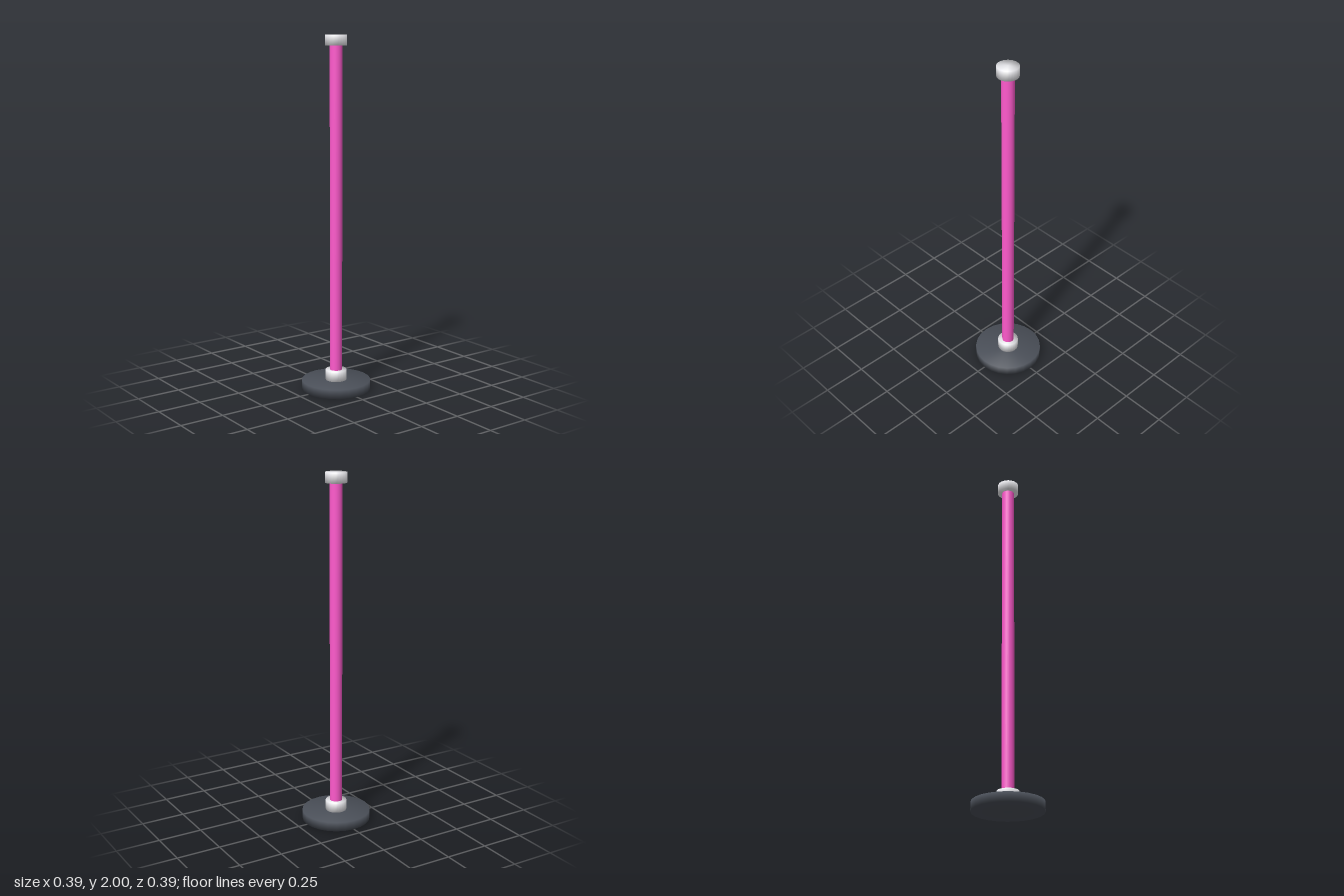
import * as THREE from 'three';
import { mergeVertices } from 'three/addons/utils/BufferGeometryUtils.js';

const SIDES = 24;

// Closed cylinder from y0 to y1, with normals shared smoothly over its rims
function disc(name, radius, y0, y1, color) {
  let geometry = new THREE.CylinderGeometry(radius, radius, y1 - y0, SIDES);
  geometry.deleteAttribute('normal');
  geometry.deleteAttribute('uv');
  geometry = mergeVertices(geometry, 1e-4);
  geometry.computeVertexNormals();
  const mesh = new THREE.Mesh(geometry, new THREE.MeshStandardMaterial({ color }));
  mesh.name = name;
  mesh.position.y = (y0 + y1) / 2;
  return mesh;
}

export function createModel() {
  const group = new THREE.Group();
  group.name = 'post';
  const dark = 0x4a4f58, pink = 0xff5acd, white = 0xe8e8ec;

  group.add(
    disc('base', 0.196, 0, 0.053, dark),
    disc('lowerCollar', 0.06, 0.053, 0.112, white),
    disc('pole', 0.035, 0.053, 1.96, pink),
    disc('topCap', 0.06, 1.943, 2, white),
  );
  return group;
}
